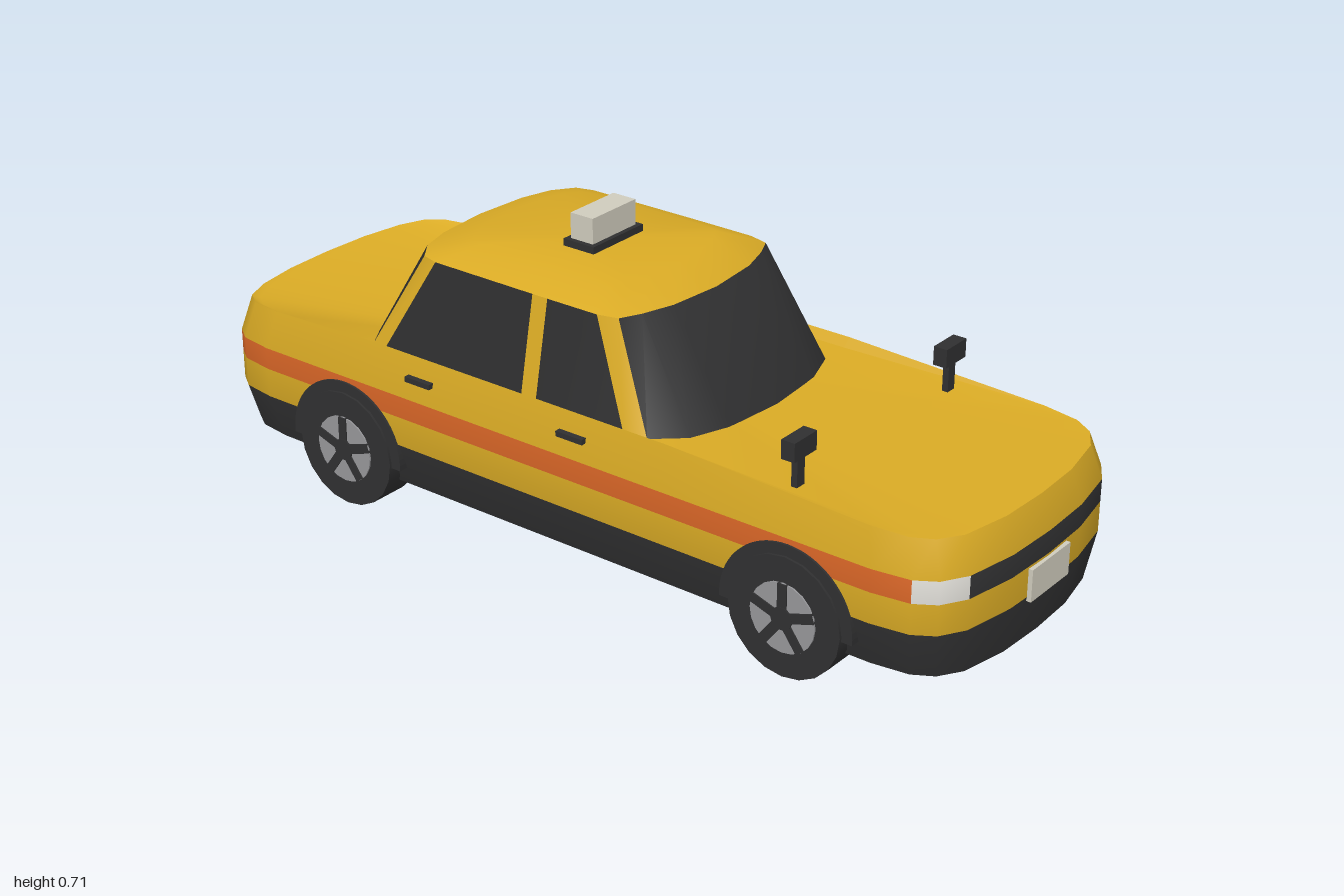
import * as THREE from 'three';
import { toCreasedNormals } from 'three/addons/utils/BufferGeometryUtils.js';

const paint = (name, color) => {
  const m = new THREE.MeshStandardMaterial({ color });
  m.name = name;
  return m;
};

// Mirror a half outline of [x, z] points, front centre to rear centre, into a closed loop
const closeOutline = half => [...half, ...half.slice(1, -1).reverse().map(([x, z]) => [-x, z])];

// Skin a stack of rings; pick(band, segment) gives a material index, segment counted from the front
function loft(rings, pick, materials, bottomCap, topCap, crease) {
  const n = rings[0].length;
  const lists = materials.map(() => []);
  const tri = (m, ...pts) => pts.forEach(p => lists[m].push(p.x, p.y, p.z));
  for (let b = 0; b < rings.length - 1; b++) {
    for (let i = 0; i < n; i++) {
      const j = (i + 1) % n;
      const m = pick(b, Math.min(i, n - 1 - i));
      tri(m, rings[b][i], rings[b][j], rings[b + 1][j]);
      tri(m, rings[b][i], rings[b + 1][j], rings[b + 1][i]);
    }
  }
  const cap = (ring, m, up) => {
    const c = ring.reduce((s, p) => s.add(p), new THREE.Vector3()).divideScalar(n);
    ring.forEach((p, i) => {
      const q = ring[(i + 1) % n];
      if (up) tri(m, p, q, c); else tri(m, q, p, c);
    });
  };
  if (bottomCap !== null) cap(rings[0], bottomCap, false);
  if (topCap !== null) cap(rings[rings.length - 1], topCap, true);

  const geo = new THREE.BufferGeometry();
  geo.setAttribute('position', new THREE.Float32BufferAttribute(lists.flat(), 3));
  let start = 0;
  lists.forEach((l, m) => {
    if (l.length) geo.addGroup(start, l.length / 3, m);
    start += l.length / 3;
  });
  return new THREE.Mesh(toCreasedNormals(geo, crease), materials);
}

export function createModel() {
  const car = new THREE.Group();
  car.name = 'taxi';

  const yellow = paint('yellow paint', 0xdaab25);
  const dark = paint('dark trim', 0x303031);
  const glass = paint('dark glass', 0x2e2e2f);
  const orange = paint('orange stripe', 0xd56426);
  const lamp = paint('headlight white', 0xdedcd6);
  const plate = paint('plate cream', 0xd0ccbd);
  const metal = paint('wheel grey', 0x97979a);

  const add = (name, geo, mat, x, y, z, parent = car) => {
    const mesh = new THREE.Mesh(geo, mat);
    mesh.name = name;
    mesh.position.set(x, y, z);
    parent.add(mesh);
    return mesh;
  };
  const box = (name, mat, w, h, d, x, y, z) => add(name, new THREE.BoxGeometry(w, h, d), mat, x, y, z);

  // Lower body: bumper band, paint, light and stripe band, shoulder with a raised lip
  const bodyOutline = closeOutline([
    [0, 0.99], [0.13, 0.985], [0.25, 0.963], [0.305, 0.93], [0.333, 0.885], [0.345, 0.8],
    [0.345, 0.3], [0.345, -0.5], [0.345, -0.82], [0.333, -0.9], [0.305, -0.94],
    [0.24, -0.967], [0.13, -0.985], [0, -0.99],
  ]);
  const lip = z => z > 0.3 ? 0.405 - 0.037 * (z - 0.3) : z < -0.5 ? 0.405 + 0.032 * (z + 0.5) : 0.405;
  const bodyRing = (sx, sz, height) =>
    bodyOutline.map(([x, z]) => new THREE.Vector3(x * sx, height(z), z * sz));
  const bodyRings = [
    bodyRing(0.913, 0.985, () => 0.08),
    bodyRing(1, 1, () => 0.187),
    bodyRing(1, 1, () => 0.255),
    bodyRing(1, 1, () => 0.306),
    bodyRing(0.945, 0.975, lip),
    bodyRing(0.905, 0.962, z => Math.min(lip(z), 0.384)),
  ];
  const bodyColour = (band, seg) => {
    if (band === 0) return 1;
    if (band !== 2) return 0;
    return seg < 2 ? 1 : seg < 4 ? 3 : seg < 11 ? 2 : 0;
  };
  const body = loft(bodyRings, bodyColour, [yellow, dark, orange, lamp], 1, 0, 0.7);
  body.name = 'body';
  car.add(body);

  // Cabin: wraparound glass with painted pillars, then the domed roof
  const sill = closeOutline([
    [0, 0.335], [0.15, 0.322], [0.24, 0.29], [0.298, 0.225], [0.308, 0.172], [0.31, -0.06], [0.31, -0.1],
    [0.308, -0.49], [0.297, -0.532], [0.24, -0.568], [0.15, -0.587], [0, -0.595],
  ]);
  const header = closeOutline([
    [0, 0.175], [0.13, 0.163], [0.205, 0.14], [0.253, 0.117], [0.265, 0.07], [0.266, -0.06], [0.266, -0.1],
    [0.265, -0.37], [0.253, -0.412], [0.205, -0.447], [0.13, -0.468], [0, -0.478],
  ]);
  const cabinRing = (outline, y, s = 1) =>
    outline.map(([x, z]) => new THREE.Vector3(x * s, y, (z + 0.155) * s - 0.155));
  const cabin = loft(
    [cabinRing(sill, 0.383), cabinRing(header, 0.605), cabinRing(header, 0.636, 0.71)],
    (band, seg) => band === 0 && ![3, 5, 7].includes(seg) ? 1 : 0,
    [yellow, glass], null, 0, 0.7);
  cabin.name = 'cabin';
  car.add(cabin);

  // Roof sign
  box('signBase', dark, 0.167, 0.018, 0.082, 0, 0.643, -0.127);
  box('roofSign', plate, 0.144, 0.058, 0.06, 0, 0.681, -0.127);

  // Number plates
  box('frontPlate', plate, 0.144, 0.072, 0.014, 0, 0.214, 0.99);
  box('rearPlate', plate, 0.144, 0.072, 0.014, 0, 0.266, -0.99);

  // Shared wheel geometry, axles along x
  const disc = (r, width, sides) => new THREE.CylinderGeometry(r, r, width, sides).rotateZ(-Math.PI / 2);
  const tyreGeo = disc(0.135, 0.093, 20);
  const rimGeo = disc(0.078, 0.012, 20);
  const hubGeo = disc(0.026, 0.016, 10);
  const spokeGeo = new THREE.BoxGeometry(0.014, 0.074, 0.022).translate(0, 0.04, 0);
  const archShape = new THREE.Shape().absarc(0, 0, 0.16, -0.05, Math.PI + 0.05, false);
  const archGeo = new THREE.ExtrudeGeometry(archShape, { depth: 0.05, bevelEnabled: false, curveSegments: 20 })
    .translate(0, 0, -0.025).rotateY(Math.PI / 2);

  for (const side of [-1, 1]) {
    const label = side > 0 ? 'left' : 'right';

    // Wheels and arches
    for (const [end, z] of [['Front', 0.608], ['Rear', -0.578]]) {
      add(label + end + 'Arch', archGeo, dark, side * 0.325, 0.134, z);
      const wheel = new THREE.Group();
      wheel.name = label + end + 'Wheel';
      wheel.position.set(0, 0.135, z);
      car.add(wheel);
      add('tyre', tyreGeo, dark, side * 0.309, 0, 0, wheel);
      add('rim', rimGeo, metal, side * 0.353, 0, 0, wheel);
      add('hub', hubGeo, dark, side * 0.355, 0, 0, wheel);
      for (let i = 0; i < 5; i++) {
        add('spoke', spokeGeo, dark, side * 0.355, 0, 0, wheel).rotation.x = i * Math.PI * 2 / 5;
      }
    }

    // Door handles
    box(label + 'FrontHandle', dark, 0.02, 0.012, 0.07, side * 0.338, 0.355, 0.06);
    box(label + 'RearHandle', dark, 0.02, 0.012, 0.07, side * 0.338, 0.355, -0.36);

    // Fender mirrors
    box(label + 'MirrorStalk', dark, 0.025, 0.08, 0.014, side * 0.273, 0.415, 0.578);
    box(label + 'MirrorHead', dark, 0.075, 0.042, 0.032, side * 0.272, 0.472, 0.578);
  }
  return car;
}
